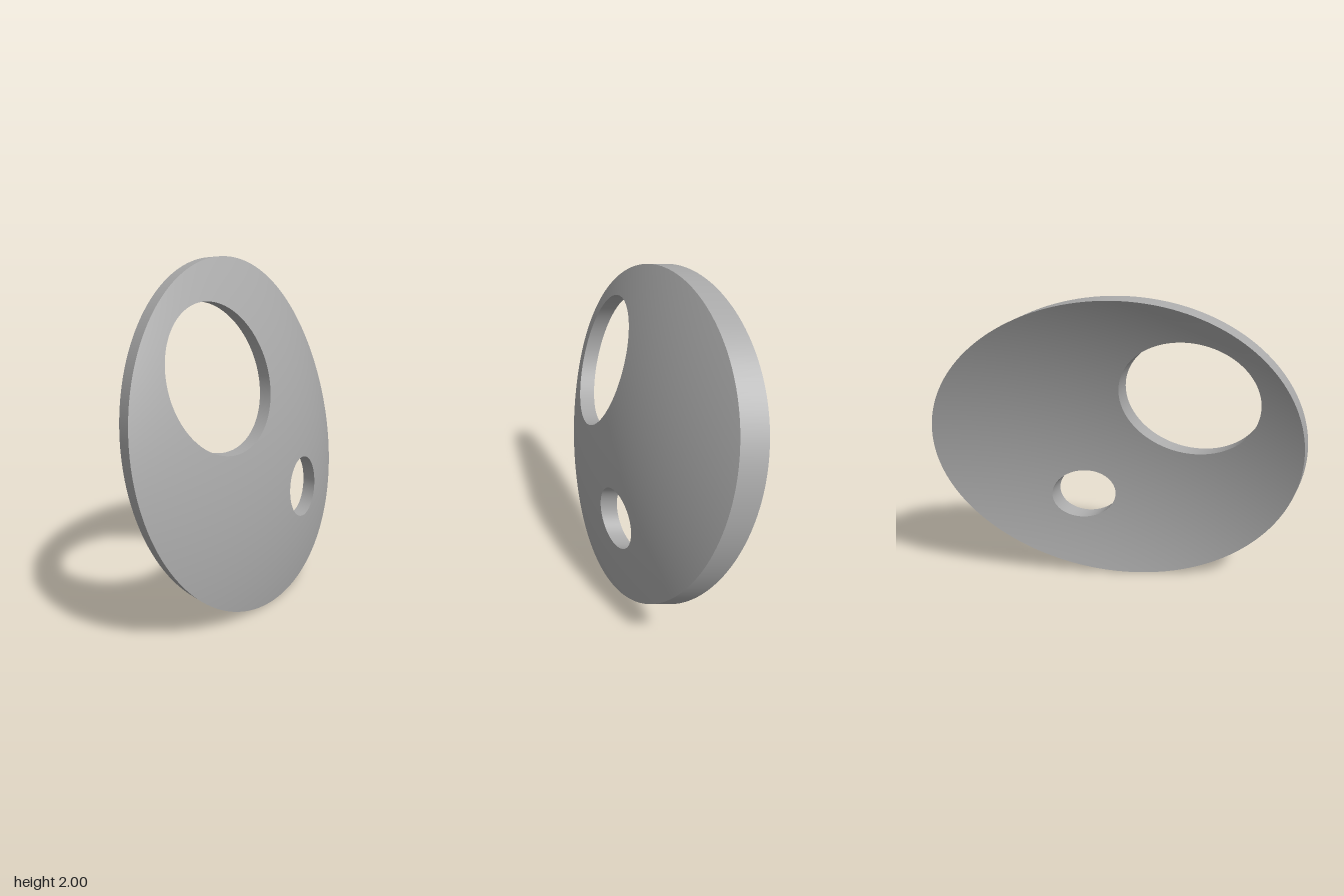
import * as THREE from 'three';
import { mergeGeometries } from 'three/addons/utils/BufferGeometryUtils.js';

// Both faces are caps of concentric spheres, trimmed by a unit cylinder along z
const CENTRE = new THREE.Vector3(-1.09, -0.58, -2.43);
const R_FRONT = 3, R_BACK = 2.91;

const holes = [
  { x: -0.335, y: 0.335, r: 0.402 },
  { x: 0.33, y: -0.385, r: 0.18 },
];

// The disc is split by a chord so that each region surrounds one hole
const SPLIT_ANGLE = -0.823, HALF = Math.acos(0.129);
const ARC = 96, CHORD = 48, RINGS = 12;

const onSphere = (x, y, radius) => new THREE.Vector3(
  x, y, CENTRE.z + Math.sqrt(radius ** 2 - (x - CENTRE.x) ** 2 - (y - CENTRE.y) ** 2));

// Grid surface from point(i, j) and normal(p), optionally reversed
function grid(n, m, point, normal, flip) {
  const pos = [], nor = [], index = [];
  for (let i = 0; i <= n; i++) {
    for (let j = 0; j <= m; j++) {
      const p = point(i, j);
      pos.push(p.x, p.y + 1, p.z);
      nor.push(...normal(p).normalize().toArray());
      if (i === n || j === m) continue;
      const a = i * (m + 1) + j, b = a + 1, d = a + m + 1, c = d + 1;
      index.push(...(flip ? [a, c, b, a, d, c] : [a, b, c, a, c, d]));
    }
  }
  const g = new THREE.BufferGeometry();
  g.setAttribute('position', new THREE.Float32BufferAttribute(pos, 3));
  g.setAttribute('normal', new THREE.Float32BufferAttribute(nor, 3));
  g.setIndex(index);
  return g;
}

// Closed outline of a region: arc of the disc, then the chord back to the start
function outline(start, end) {
  const at = (t) => new THREE.Vector2(Math.cos(t), Math.sin(t));
  const pts = [];
  for (let i = 0; i <= ARC; i++) pts.push(at(start + (end - start) * i / ARC));
  for (let i = 1; i <= CHORD; i++) pts.push(at(end).lerp(at(start), i / CHORD));
  return pts;
}

export function createModel() {
  const group = new THREE.Group();
  const grey = new THREE.MeshStandardMaterial({ color: 0xaaaaaa });
  grey.name = 'grey';
  const parts = { frontFace: [], backFace: [], outerRim: [], holeWalls: [] };

  const arcs = [
    [SPLIT_ANGLE + HALF, SPLIT_ANGLE - HALF + Math.PI * 2],
    [SPLIT_ANGLE - HALF, SPLIT_ANGLE + HALF],
  ];

  holes.forEach((hole, k) => {
    const outer = outline(...arcs[k]);
    const n = outer.length - 1;
    const middle = new THREE.Vector2(hole.x, hole.y);
    const inner = outer.map((p) => p.clone().sub(middle).setLength(hole.r).add(middle));

    // Curved faces, running from the hole to the region's outline
    const face = (radius, sign) => grid(n, RINGS, (i, j) => {
      const p = inner[i].clone().lerp(outer[i], j / RINGS);
      return onSphere(p.x, p.y, radius);
    }, (p) => p.clone().sub(CENTRE).multiplyScalar(sign), sign < 0);
    parts.frontFace.push(face(R_FRONT, 1));
    parts.backFace.push(face(R_BACK, -1));

    // Straight walls joining the front and back edges
    const wall = (pts, count, cx, cy, sign) => grid(count, 1,
      (i, j) => onSphere(pts[i].x, pts[i].y, j ? R_BACK : R_FRONT),
      (p) => new THREE.Vector3((p.x - cx) * sign, (p.y - cy) * sign, 0), sign < 0);
    parts.outerRim.push(wall(outer, ARC, 0, 0, 1));
    parts.holeWalls.push(wall(inner, n, hole.x, hole.y, -1));
  });

  for (const [name, pieces] of Object.entries(parts)) {
    const mesh = new THREE.Mesh(mergeGeometries(pieces), grey);
    mesh.name = name;
    group.add(mesh);
  }
  return group;
}
